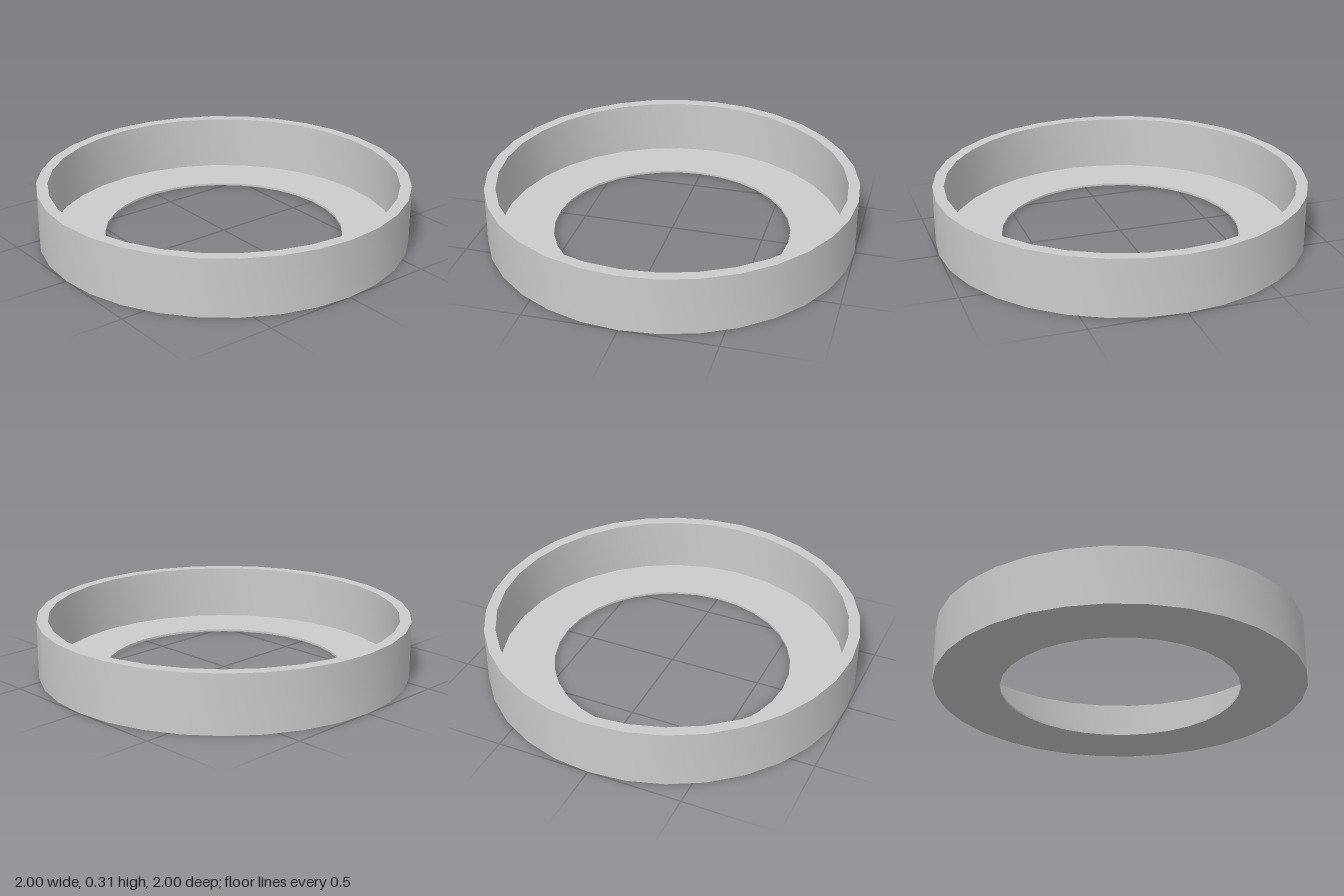
import * as THREE from 'three';
import { toCreasedNormals } from 'three/addons/utils/BufferGeometryUtils.js';

const OUTER = 1, INNER = 0.94, HOLE = 0.645;
const HEIGHT = 0.31, FLOOR = 0.012, SEGMENTS = 32;

// Revolves a closed profile, smooth around the ring and sharp at its corners
function ring(name, profile) {
  const points = [...profile, profile[0]].map(([r, y]) => new THREE.Vector2(r, y));
  const geometry = toCreasedNormals(new THREE.LatheGeometry(points, SEGMENTS), Math.PI / 6);
  const mesh = new THREE.Mesh(geometry, new THREE.MeshStandardMaterial({ color: 0xcccccc }));
  mesh.name = name;
  return mesh;
}

export function createModel() {
  const group = new THREE.Group();
  group.name = 'flangedRing';

  // Upright wall with a thin inward floor flange around the open hole
  group.add(ring('wallAndFlange', [
    [HOLE, 0],
    [OUTER, 0],
    [OUTER, HEIGHT],
    [INNER, HEIGHT],
    [INNER, FLOOR],
    [HOLE, FLOOR],
  ]));

  return group;
}
